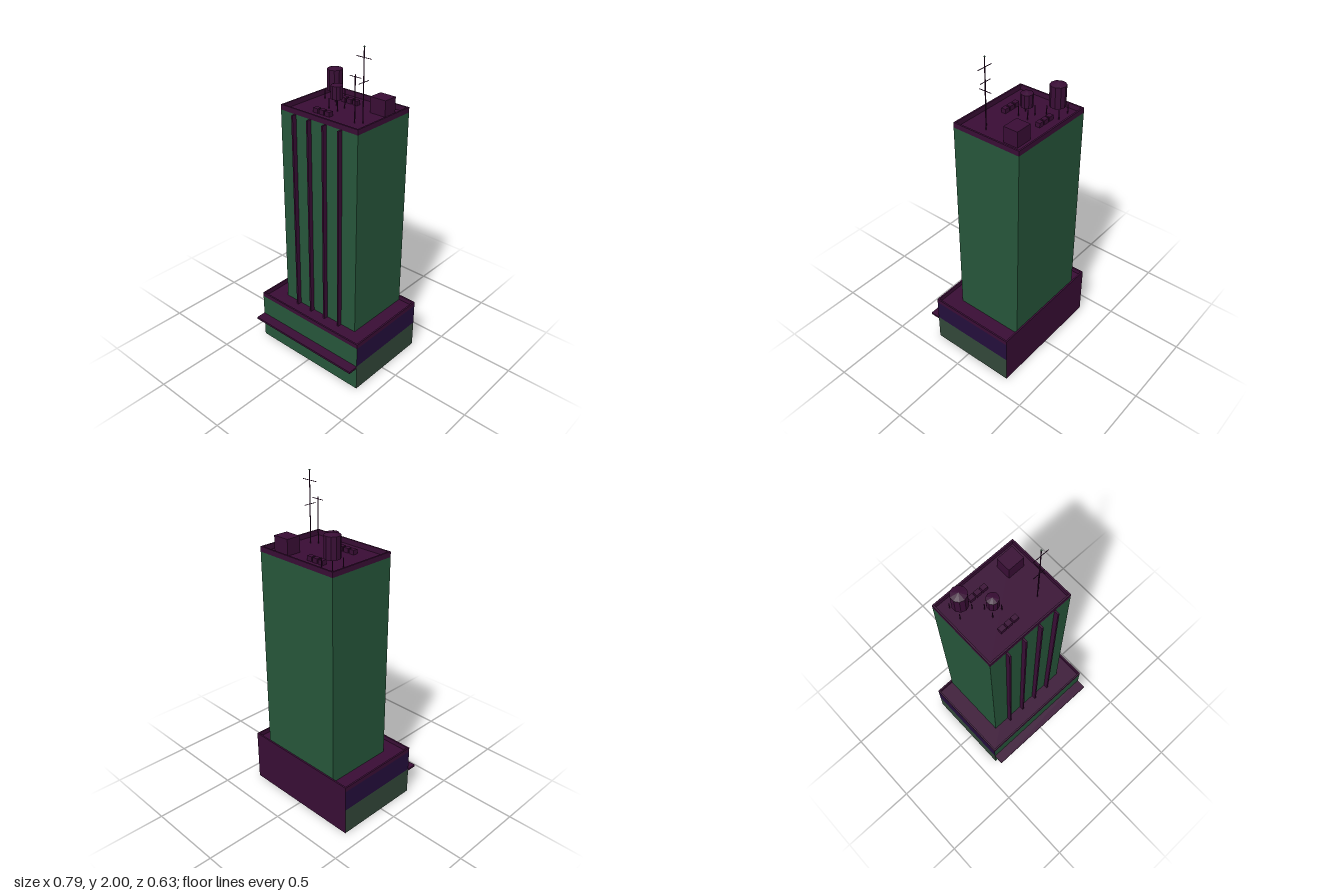
import * as THREE from 'three';

const mat = (name, color, side = THREE.FrontSide) => {
  const m = new THREE.MeshStandardMaterial({ color, side });
  m.name = name;
  return m;
};

export function createModel() {
  const root = new THREE.Group();
  root.name = 'officeTower';
  const green = mat('green', 0x26563a, THREE.DoubleSide);
  const purple = mat('plum', 0x390d35, THREE.DoubleSide);
  const indigo = mat('indigo', 0x240e3c, THREE.DoubleSide);
  const grey = mat('greyGreen', 0x324739, THREE.DoubleSide);

  const add = (parent, name, geo, material, x = 0, y = 0, z = 0) => {
    const m = new THREE.Mesh(geo, material);
    m.name = name;
    m.position.set(x, y, z);
    parent.add(m);
    return m;
  };
  // Box given by its limits on each axis
  const box = (parent, name, material, x0, x1, y0, y1, z0, z1) =>
    add(parent, name, new THREE.BoxGeometry(x1 - x0, y1 - y0, z1 - z0), material,
      (x0 + x1) / 2, (y0 + y1) / 2, (z0 + z1) / 2);
  const group = (name, x = 0, y = 0, z = 0) => {
    const g = new THREE.Group();
    g.name = name;
    g.position.set(x, y, z);
    root.add(g);
    return g;
  };
  // Low wall around a flat roof
  const parapet = (parent, w, y0, y1, z0, z1, t) => {
    for (const s of [-1, 1]) {
      const a = s * w, b = s * (w - t);
      box(parent, 'parapetSide', purple, Math.min(a, b), Math.max(a, b), y0, y1, z0, z1);
    }
    box(parent, 'parapetFront', purple, -w + t, w - t, y0, y1, z1 - t, z1);
    box(parent, 'parapetBack', purple, -w + t, w - t, y0, y1, z0, z0 + t);
  };

  // Podium: thin walls, open underneath
  const PW = 0.395, PB = -0.314, PF = 0.25, PY = 0.303;
  const podium = group('podium');
  const wall = (name, material, w, y0, y1, x, z, ry) => {
    add(podium, name, new THREE.PlaneGeometry(w, y1 - y0), material, x, (y0 + y1) / 2, z).rotation.y = ry;
  };
  const depth = PF - PB, midZ = (PF + PB) / 2;
  wall('frontWall', green, PW * 2, 0, PY, 0, PF, 0);
  wall('backWall', purple, PW * 2, 0, PY, 0, PB, Math.PI);
  for (const s of [-1, 1]) {
    wall('sideWallLower', grey, depth, 0, 0.17, s * PW, midZ, s * Math.PI / 2);
    wall('sideWallUpper', indigo, depth, 0.17, PY, s * PW, midZ, s * Math.PI / 2);
  }
  const deck = add(podium, 'podiumRoof', new THREE.PlaneGeometry(PW * 2, depth), purple, 0, PY, midZ);
  deck.rotation.x = -Math.PI / 2;
  parapet(podium, PW, PY, 0.331, PB, PF, 0.01);
  box(podium, 'awning', purple, -PW, PW, 0.156, 0.169, PF, 0.314);

  // Tower shaft with four vertical fins
  const TW = 0.282, TB = -0.303, TF = 0.138, TY = 1.578;
  const tower = group('tower');
  box(tower, 'shaft', [green, green, purple, purple, green, green], -TW, TW, PY + 0.001, TY, TB, TF);
  parapet(tower, TW, TY, 1.609, TB, TF, 0.01);
  for (const x of [-0.169, -0.056, 0.056, 0.169])
    box(tower, 'fin', purple, x - 0.0055, x + 0.0055, PY + 0.001, TY, TF, 0.166);

  // Rooftop water tanks on legs
  const tank = (x, z, r, y0, y1, y2) => {
    const g = group('waterTank', x, 0, z);
    const body = new THREE.CylinderGeometry(r, r, y1 - y0, 10).toNonIndexed();
    body.computeVertexNormals();
    add(g, 'tankBody', body, purple, 0, (y0 + y1) / 2, 0);
    const lid = new THREE.ConeGeometry(r, y2 - y1, 10).toNonIndexed();
    lid.computeVertexNormals();
    add(g, 'tankLid', lid, purple, 0, (y1 + y2) / 2, 0);
    const d = r * 0.87, t = 0.004;
    for (const sx of [-1, 1]) for (const sz of [-1, 1])
      box(g, 'tankLeg', purple, sx * d - t / 2, sx * d + t / 2, TY, y0 + 0.002, sz * d - t / 2, sz * d + t / 2);
  };
  tank(-0.177, -0.2, 0.047, 1.632, 1.758, 1.772);
  tank(-0.059, -0.083, 0.036, 1.638, 1.716, 1.727);

  // Stair house and rows of air units
  const roof = group('roofEquipment');
  box(roof, 'stairHouse', purple, 0.12, 0.227, TY, 1.672, -0.248, -0.157);
  for (const z of [-0.202, 0.032])
    for (const x of [-0.103, -0.06, -0.017])
      box(roof, 'airUnit', purple, x - 0.017, x + 0.017, TY, 1.605, z - 0.0145, z + 0.0145);

  // Antenna masts with crossarms
  const mast = (x, z, top, r) => {
    const g = group('antenna', x, 0, z);
    add(g, 'mastPole', new THREE.CylinderGeometry(r, r, top - TY, 6), purple, 0, (top + TY) / 2, 0);
    return g;
  };
  const main = mast(0.192, -0.01, 1.992, 0.003);
  box(main, 'crossarm', purple, -0.051, 0.051, 1.937, 1.94, -0.0015, 0.0015);
  box(main, 'crossarm', purple, -0.0015, 0.0015, 1.804, 1.807, -0.04, 0.04);
  add(main, 'mastTip', new THREE.SphereGeometry(0.005, 8, 6), green, 0, 1.995, 0);
  const second = mast(0.158, 0.018, 1.848, 0.003);
  box(second, 'crossarm', purple, -0.04, 0.04, 1.834, 1.837, -0.0015, 0.0015);

  return root;
}
